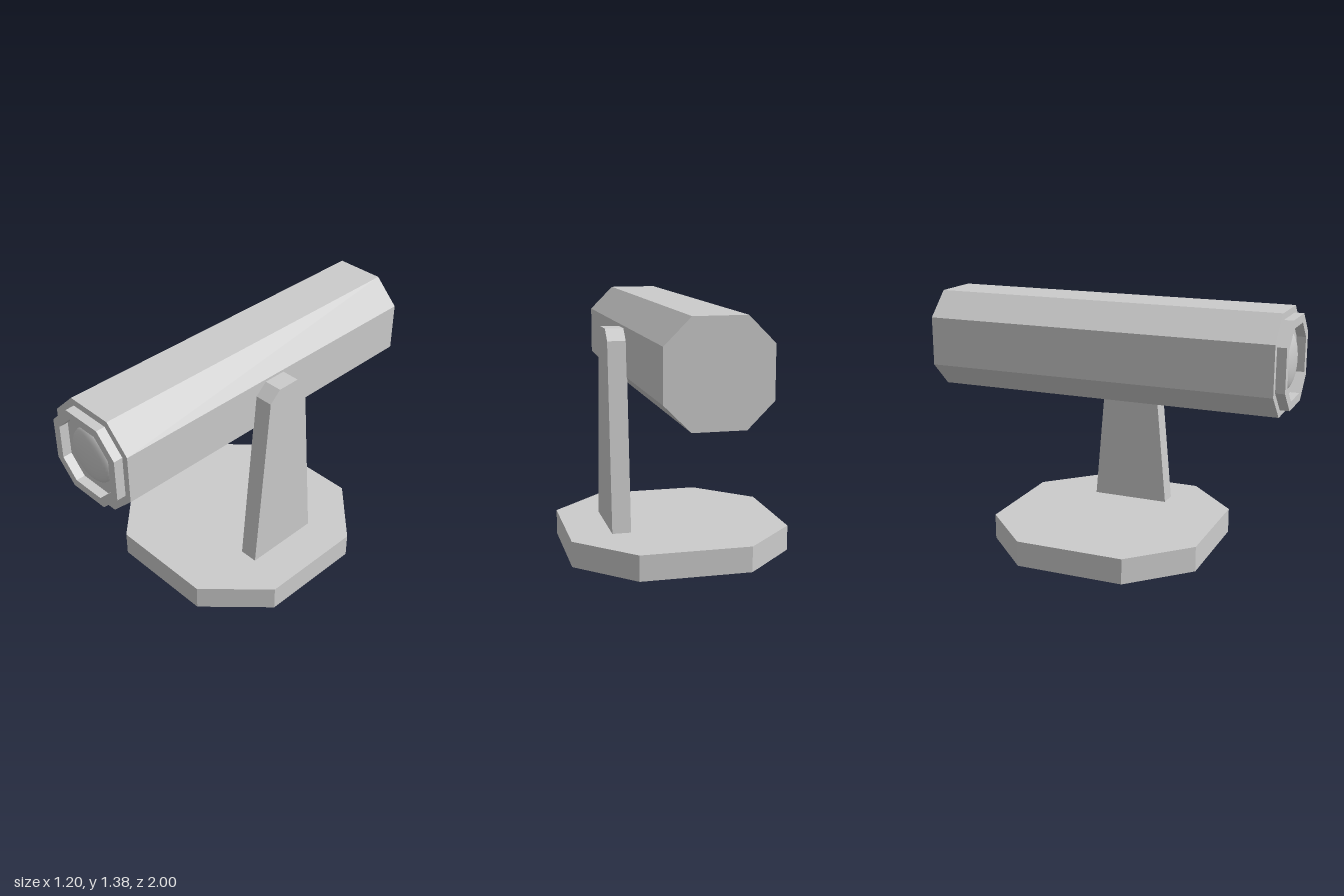
import * as THREE from 'three';

const material = new THREE.MeshStandardMaterial({ color: 0xcccccc, flatShading: true });
const smoothMaterial = new THREE.MeshStandardMaterial({ color: 0xcccccc });

// Corners of an octagon with half width r and half flat length c
function octagon(r, c) {
  return [[c, -r], [r, -c], [r, c], [c, r], [-c, r], [-r, c], [-r, -c], [-c, -r]]
    .map(([x, y]) => new THREE.Vector2(x, y));
}

function extrude(points, depth, hole) {
  const shape = new THREE.Shape(points);
  if (hole) shape.holes.push(new THREE.Path(hole));
  return new THREE.ExtrudeGeometry(shape, { depth, bevelEnabled: false });
}

export function createModel() {
  const model = new THREE.Group();
  const add = (name, geometry, x, y, z, mat = material) => {
    const mesh = new THREE.Mesh(geometry, mat);
    mesh.name = name;
    mesh.position.set(x, y, z);
    model.add(mesh);
    return mesh;
  };
  const axisY = 1.11;

  // Octagonal foot plate
  add('base', extrude(octagon(0.6, 0.3), 0.14).rotateX(-Math.PI / 2), 0, 0, -0.02);

  // Tapered side post, profile given as (z, y)
  const profile = [[0.2, 0.14], [0.105, 1.17], [0.04, 1.23], [-0.09, 1.23], [-0.15, 1.17], [-0.24, 0.14]]
    .map(([z, y]) => new THREE.Vector2(-z, y));
  add('supportPost', extrude(profile, 0.103).rotateY(Math.PI / 2), 0.265, 0, 0);

  // Long octagonal barrel with a raised rim at the front
  add('barrel', extrude(octagon(0.268, 0.134), 1.95), 0, axisY, -1);
  add('frontRim', extrude(octagon(0.232, 0.116), 0.05, octagon(0.187, 0.094)), 0, axisY, 0.95);

  // Shallow domed lens inside the rim
  const dome = new THREE.SphereGeometry(0.148, 32, 10, 0, Math.PI * 2, 0, Math.PI / 2)
    .rotateX(Math.PI / 2).scale(1, 1, 0.28);
  add('lens', dome, 0, axisY, 0.95, smoothMaterial);

  return model;
}
